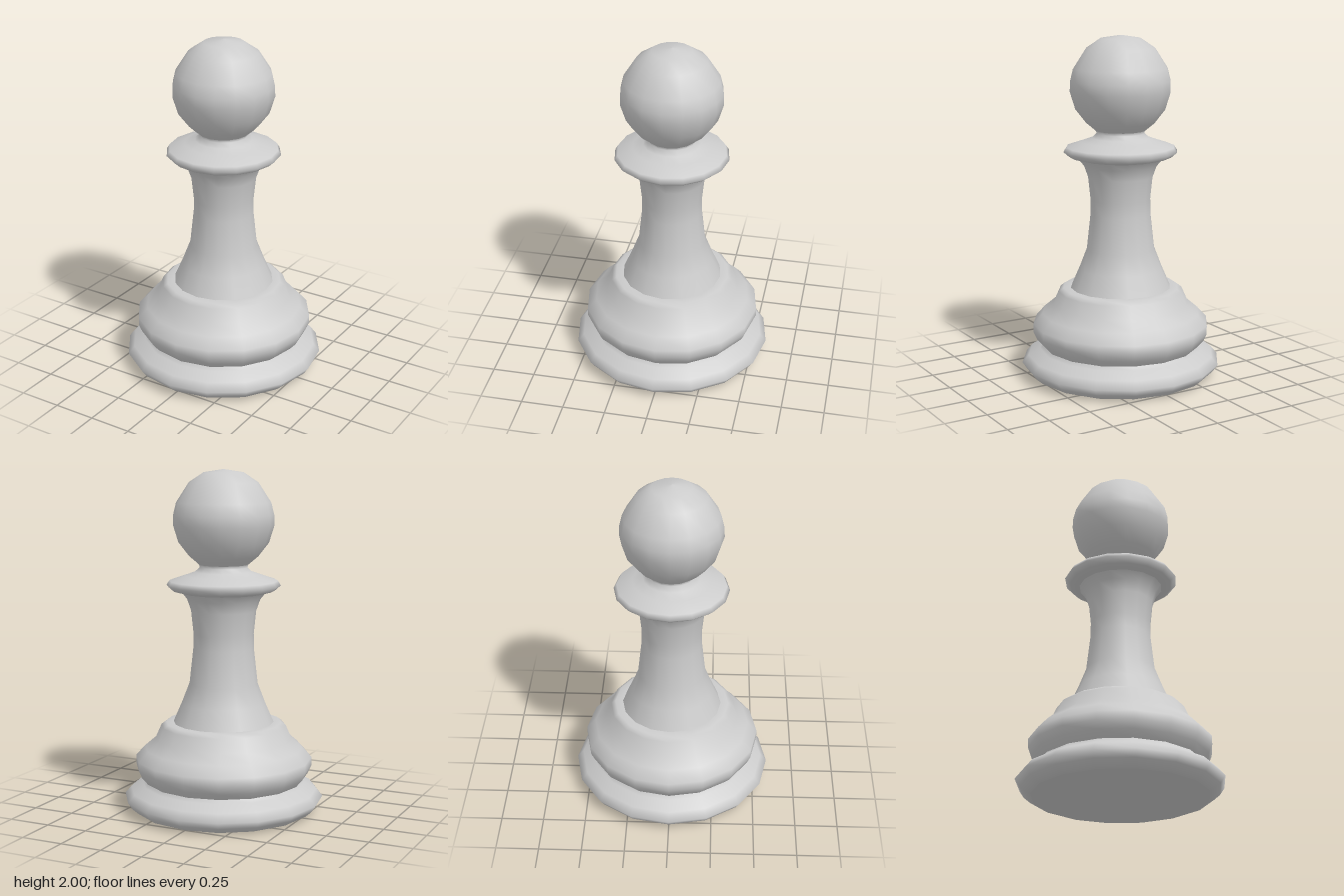
import * as THREE from 'three';

const SIDES = 16;

// Each part is a turned profile of [radius, height] points, bottom to top.
const PROFILES = {
  foot: [[0.5, 0], [0.525, 0.01], [0.56, 0.04], [0.587, 0.08], [0.55, 0.125], [0.48, 0.16], [0.465, 0.18]],
  bulge: [[0.465, 0.18], [0.5, 0.22], [0.52, 0.265], [0.52, 0.315], [0.465, 0.375], [0.4, 0.43],
    [0.367, 0.505], [0.34, 0.525], [0.29, 0.525]],
  stem: [[0.295, 0.525], [0.245, 0.64], [0.2, 0.757], [0.177, 0.965], [0.176, 1.05], [0.19, 1.185], [0.213, 1.25], [0.245, 1.29]],
  collar: [[0.245, 1.29], [0.3, 1.305], [0.332, 1.333], [0.315, 1.36], [0.225, 1.39], [0.165, 1.412], [0.138, 1.437], [0.145, 1.455]],
  head: [[0.14, 1.45], [0.2, 1.5], [0.262, 1.58], [0.293, 1.68], [0.291, 1.74], [0.274, 1.81],
    [0.2, 1.925], [0.115, 1.982], [0, 2]],
};

export function createModel() {
  const model = new THREE.Group();
  model.name = 'pawn';
  const material = new THREE.MeshStandardMaterial({ color: 0xcccccc });

  const add = (name, geometry) => {
    const mesh = new THREE.Mesh(geometry, material);
    mesh.name = name;
    model.add(mesh);
  };

  // Turned parts
  for (const [name, profile] of Object.entries(PROFILES)) {
    const points = profile.map(([r, y]) => new THREE.Vector2(r, y));
    add(name, new THREE.LatheGeometry(points, SIDES));
  }

  // Flat underside
  add('underside', new THREE.CircleGeometry(PROFILES.foot[0][0], SIDES).rotateX(Math.PI / 2));

  return model;
}
